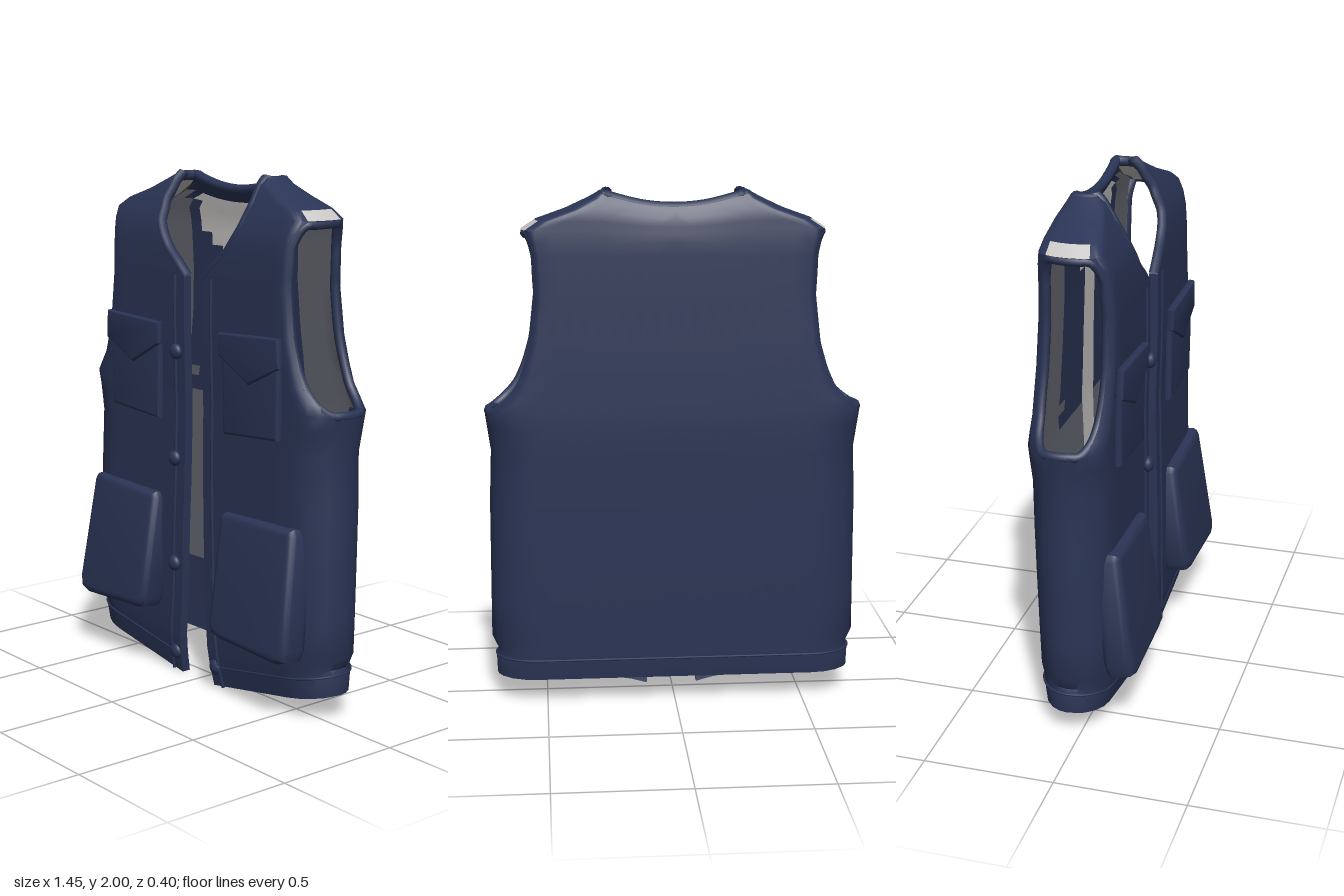
import * as THREE from 'three';
import { toCreasedNormals } from 'three/addons/utils/BufferGeometryUtils.js';

const material = (name, color) => {
  const m = new THREE.MeshStandardMaterial({ color });
  m.name = name;
  return m;
};
const fabric = material('navy fabric', 0x2a3455);
const liningMat = material('light grey lining', 0xc9c7c5);
const darkLiningMat = material('dark grey lining', 0x63666f);

const lerp = THREE.MathUtils.lerp;
const clamp = THREE.MathUtils.clamp;
// Piecewise linear lookup of a value by height
function at(y, keys) {
  if (y <= keys[0][0]) return keys[0][1];
  for (let i = 1; i < keys.length; i++) {
    const [y0, v0] = keys[i - 1], [y1, v1] = keys[i];
    if (y <= y1) return lerp(v0, v1, (y - y0) / (y1 - y0));
  }
  return keys[keys.length - 1][1];
}

// Garment measurements by height
const halfWidth = [[0.1, 0.695], [0.18, 0.698], [0.2, 0.69], [0.25, 0.714], [0.8, 0.71], [1, 0.702], [1.16, 0.724],
  [1.2, 0.69], [1.25, 0.645], [1.32, 0.603], [1.42, 0.57], [1.6, 0.55], [1.75, 0.557], [1.845, 0.572],
  [1.88, 0.52], [1.92, 0.41], [1.96, 0.325], [1.985, 0.28]];
const opening = [[0.1, 0.1], [0.4, 0.072], [0.9, 0.055], [1.6, 0.055], [1.65, 0.11], [1.7, 0.17], [1.75, 0.21],
  [1.8, 0.24], [1.88, 0.258], [1.985, 0.25]];
const frontZ = [[0.1, 0.075], [0.18, 0.09], [0.25, 0.1], [0.6, 0.1], [1.1, 0.093], [1.42, 0.1], [1.65, 0.098],
  [1.75, 0.09], [1.8, 0.078], [1.88, 0.04], [1.96, -0.01], [1.985, -0.04]];
const backZ = [[0.1, -0.165], [0.18, -0.175], [0.5, -0.187], [1.1, -0.203], [1.42, -0.195], [1.8, -0.183],
  [1.92, -0.168], [1.985, -0.14]];
const cornerR = [[1.05, 0.16], [1.16, 0.13], [1.32, 0.06], [1.42, 0.05]];
const armAngle = [[1.16, 0.55], [1.2, 0.8], [1.27, 0.95], [1.75, 0.97], [1.845, 0.75]];

const rows = [0.1, 0.18, 0.2, 0.25, 0.4, 0.6, 0.8, 1, 1.1, 1.16, 1.2, 1.25, 1.32, 1.42, 1.6, 1.65, 1.7, 1.75,
  1.8, 1.845, 1.88, 1.92, 1.96, 1.985];
const ARM0 = rows.indexOf(1.16), ARM1 = rows.indexOf(1.845);
const F = 7, A0 = 10, A1 = 14, B = 17, N = 25, THICK = 0.035;

// Point on the left half: column 0 is the front edge, N the centre back
function outer(y, c) {
  const w = at(y, halfWidth), inn = at(y, opening), zf = at(y, frontZ), zb = at(y, backZ), a = at(y, armAngle);
  const r = Math.min(at(y, cornerR), (w - inn) * 0.6), mid = (zf + zb) / 2, h = (zf - zb) / 2;
  let x, z, yy = y;
  if (c <= F) { x = lerp(inn, w - r, c / F); z = zf; }
  else if (c <= B) {
    const th = c <= A0 ? lerp(Math.PI / 2, a, (c - F) / (A0 - F))
      : c <= A1 ? lerp(a, -a, (c - A0) / (A1 - A0)) : lerp(-a, -Math.PI / 2, (c - A1) / (B - A1));
    x = w - r + r * Math.cos(th); z = mid + h * Math.sin(th);
  } else { x = (w - r) * (N - c) / (N - B); z = zb; }
  if (c <= A0) yy -= 0.1 * clamp((0.7 - x) / 0.6, 0, 1) * clamp((0.6 - y) / 0.4, 0, 1);
  if (c >= B) yy -= 0.05 * clamp(1 - (x / 0.27) ** 2, 0, 1) * clamp((y - 1.8) / 0.185, 0, 1);
  return new THREE.Vector3(x, yy, z);
}
const P = rows.map(y => Array.from({ length: N + 1 }, (_, c) => outer(y, c)));
const Q = P.map((row, r) => row.map((p, c) => {
  const dc = P[r][Math.min(c + 1, N)].clone().sub(P[r][Math.max(c - 1, 0)]);
  const dr = P[Math.min(r + 1, rows.length - 1)][c].clone().sub(P[Math.max(r - 1, 0)][c]);
  const n = dc.cross(dr).normalize();
  if (c === N) n.x = 0;
  if (c === 0) n.set(0, 0, 1);
  return p.clone().addScaledVector(n, -THICK);
}));
const middle = (r, c) => P[r][c].clone().lerp(Q[r][c], 0.5);

// Colour of an inside cell: 0 navy, 1 light lining, 2 dark lining
function insideColour(r, c) {
  const y = rows[r], x = (P[r][c].x + P[r][c + 1].x) / 2;
  if (c < A0) return y >= 1.1 && c >= 2 ? 1 : 0;
  if (c < B) return y < 1.16 ? 0 : c < A1 ? 1 : 2;
  if (y < 0.18 || y >= 1.92) return 0;
  if (c === N - 1 || (y < 0.6 && c === N - 2) || (y >= 1.6 && x < at(y + 0.025, opening) + 0.01)) return 1;
  if (y < 0.4) return 0;
  return y < 1.1 || x > 0.33 ? 2 : 0;
}

// Outer cloth, linings and closed edges for both halves
function buildShell() {
  const lists = [[], [], []];
  const quad = (k, s, a, b, c, d) => {
    const tri = s > 0 ? [a, b, c, a, c, d] : [a, c, b, a, d, c];
    tri.forEach(p => lists[k].push(p.x * s, p.y, p.z));
  };
  const has = (r, c) => r >= 0 && r < rows.length - 1 && c >= 0 && c < N
    && !(r >= ARM0 && r < ARM1 && c >= A0 && c < A1);
  for (const s of [1, -1]) for (let r = 0; r < rows.length - 1; r++) for (let c = 0; c < N; c++) {
    if (!has(r, c)) continue;
    const k = [[r, c], [r, c + 1], [r + 1, c + 1], [r + 1, c]];
    const o = k.map(([i, j]) => P[i][j]), q = k.map(([i, j]) => Q[i][j]);
    const shoulderPatch = r === ARM1 && c >= A0 && c < A1;
    quad(shoulderPatch ? 1 : 0, s, ...o);
    quad(insideColour(r, c), s, q[0], q[3], q[2], q[1]);
    [[r - 1, c], [r, c + 1], [r + 1, c], [r, c - 1]].forEach(([i, j], e) => {
      if (has(i, j) || j === N) return;
      const f = (e + 1) % 4;
      quad(0, s, o[f], o[e], q[e], q[f]);
    });
  }
  return lists.map(list => {
    const g = new THREE.BufferGeometry();
    g.setAttribute('position', new THREE.Float32BufferAttribute(list, 3));
    return toCreasedNormals(g, 0.8);
  });
}

function createModel() {
  const vest = new THREE.Group();
  vest.name = 'vest';
  const add = (name, geo, mat = fabric) => {
    const m = new THREE.Mesh(geo, mat);
    m.name = name;
    vest.add(m);
    return m;
  };
  const tube = (name, pts, radius, closed = false) => add(name, new THREE.TubeGeometry(
    new THREE.CatmullRomCurve3(pts, closed, 'centripetal'), pts.length * 4, radius, 8, closed));
  const flip = (pts, s) => pts.map(p => new THREE.Vector3(p.x * s, p.y, p.z));
  // Soft padded panel cut from an outline
  const panel = (name, pts, s, depth, bevel, z, tilt = 0) => {
    const cx = pts.reduce((t, p) => t + p[0], 0) / pts.length, cy = pts.reduce((t, p) => t + p[1], 0) / pts.length;
    const shape = new THREE.Shape(pts.map(([x, y]) => new THREE.Vector2((x - cx) * s, y - cy)));
    const g = new THREE.ExtrudeGeometry(shape, { depth, bevelThickness: bevel, bevelSize: bevel,
      bevelOffset: -bevel, bevelSegments: 4 });
    const m = add(name, toCreasedNormals(g, 0.7));
    m.position.set(cx * s, cy, z);
    m.rotation.x = tilt;
  };

  const [cloth, light, dark] = buildShell();
  add('body', cloth);
  add('lightLining', light, liningMat);
  add('darkLining', dark, darkLiningMat);

  // Neck binding, from one front edge over both shoulders to the other
  const neck = [];
  for (let r = rows.indexOf(1.6); r < rows.length; r++) neck.push(middle(r, 0));
  for (const c of [4, 8, 10, 12, 14, 16, 18, 21, 23, N]) neck.push(middle(rows.length - 1, c));
  tube('neckBinding', [...neck, ...flip(neck, -1).reverse().slice(1)], 0.02);

  // Armhole loop, tucked just under the shoulder tip
  const arm = [];
  for (let r = ARM0; r < ARM1; r++) arm.push(middle(r, A0));
  for (let c = A0; c <= A1; c++) arm.push(middle(ARM1, c).add(new THREE.Vector3(0, -0.006, 0)));
  for (let r = ARM1 - 1; r >= ARM0; r--) arm.push(middle(r, A1));
  for (let c = A1 - 1; c > A0; c--) arm.push(middle(ARM0, c));

  for (const s of [1, -1]) {
    const side = s > 0 ? 'left' : 'right';
    tube(side + 'ArmholeBinding', flip(arm, s), 0.018, true);

    // Placket seam beside the front opening
    const seam = rows.filter(y => y <= 1.6).map(y => new THREE.Vector3(
      s * (at(y, opening) + 0.055), outer(y, 0).y + 0.005, at(y, frontZ)));
    tube(side + 'PlacketSeam', seam, 0.007);

    // Hem seam around the waist
    tube(side + 'HemSeam', flip(P[1], s), 0.004);

    // Chest pocket with pointed flap
    panel(side + 'ChestPocket', [[0.2, 1.03], [0.505, 1.05], [0.515, 1.4], [0.19, 1.4]], s, 0.012, 0.014, 0.092);
    panel(side + 'ChestFlap', [[0.185, 1.33], [0.355, 1.24], [0.525, 1.32], [0.52, 1.43], [0.18, 1.415]],
      s, 0.012, 0.01, 0.108);

    // Bulging lower pocket, leaning out at its base
    panel(side + 'LowerPocket', [[0.2, 0.29], [0.22, 0.255], [0.26, 0.245], [0.59, 0.23], [0.635, 0.245],
      [0.65, 0.29], [0.618, 0.71], [0.605, 0.735], [0.215, 0.725], [0.2, 0.7]], s, 0.055, 0.03, 0.092, -0.14);
  }

  // Buttons
  for (const [x, y, z] of [[-0.09, 1.31, 0.112], [-0.105, 0.885, 0.108], [-0.105, 0.46, 0.112],
    [-0.125, 0.085, 0.088], [0.125, 0.085, 0.088]]) {
    const b = add('button', new THREE.SphereGeometry(0.031, 14, 10));
    b.scale.z = 0.65;
    b.position.set(x, y, z);
  }
  return vest;
}

export { createModel };
